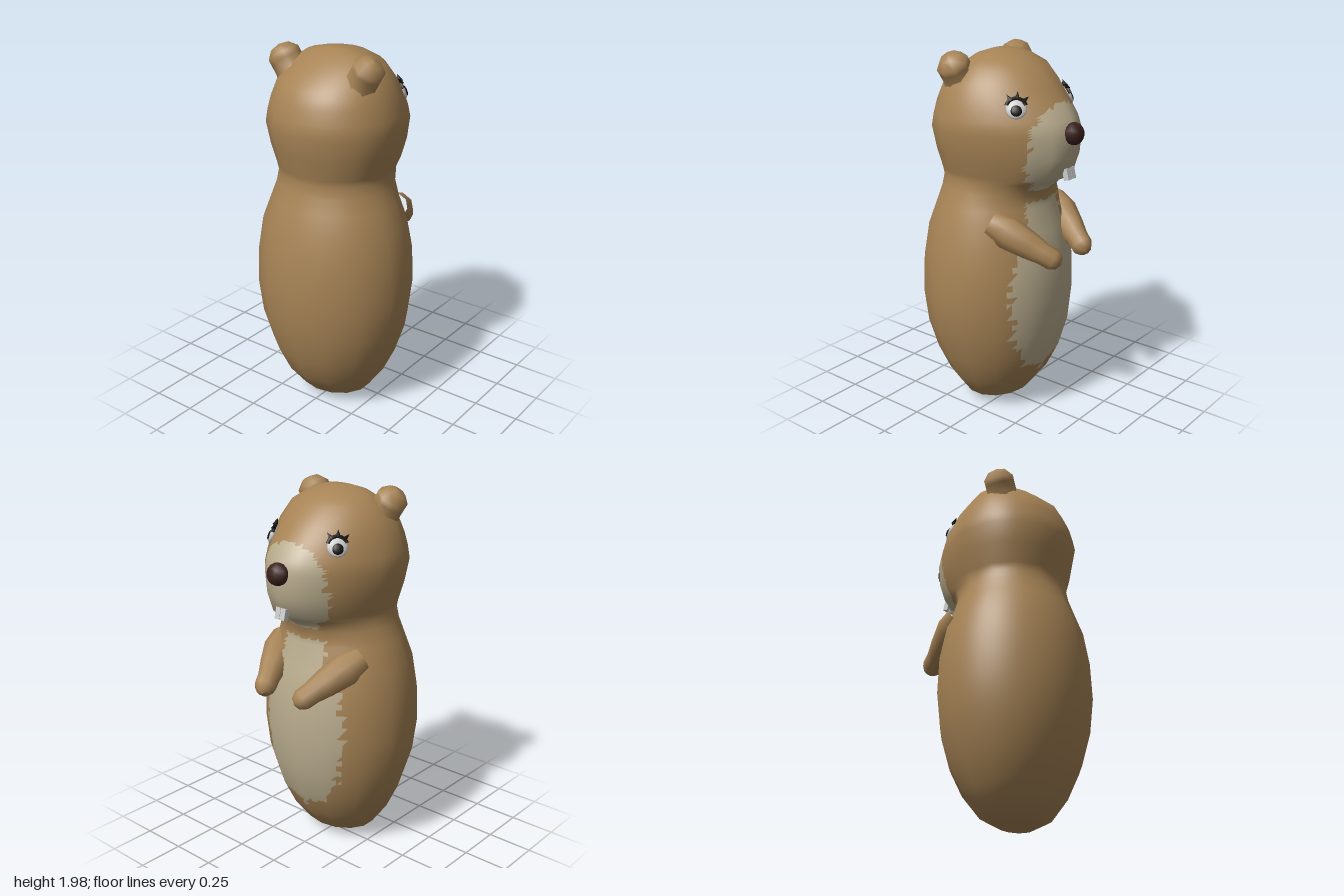
import * as THREE from 'three';

const mat = (color) => new THREE.MeshStandardMaterial({ color });
const FUR = mat(0xa68355), CREAM = mat(0xb9ac8e), DARK = mat(0x3a201c), BLACK = mat(0x17130f), WHITE = mat(0xe2e2e0);

const SIDES = 14, SUB = 6, MID_Z = 0.06;
// Body rings: height, half width, back z, front z, pinch towards the snout
const RINGS = [
  [0.01, 0, 0.06, 0.06, 0], [0.02, 0.11, 0.14, -0.02, 0], [0.07, 0.21, 0.24, -0.11, 0], [0.19, 0.295, 0.335, -0.205, 0],
  [0.33, 0.36, 0.4, -0.272, 0], [0.5, 0.415, 0.445, -0.318, 0], [0.69, 0.44, 0.465, -0.335, 0],
  [0.89, 0.43, 0.457, -0.332, 0], [1.07, 0.4, 0.428, -0.29, 0], [1.2, 0.35, 0.382, -0.25, 0],
  [1.28, 0.318, 0.355, -0.25, 0], [1.34, 0.305, 0.345, -0.31, 0.1], [1.375, 0.312, 0.352, -0.385, 0.2],
  [1.48, 0.345, 0.378, -0.42, 0.22], [1.6, 0.368, 0.402, -0.43, 0.25], [1.67, 0.358, 0.388, -0.405, 0.25],
  [1.74, 0.338, 0.37, -0.355, 0.2], [1.82, 0.308, 0.335, -0.285, 0.1], [1.91, 0.245, 0.23, -0.205, 0],
  [1.965, 0.16, 0.14, -0.1, 0], [1.985, 0.07, 0.08, -0.02, 0], [1.987, 0, 0.04, 0.04, 0],
];
const EYE_ROW = 16;

// Coarse rings give the shape and its smooth normals
function coarseBody() {
  const pos = [], index = [];
  for (const [y, rx, back, front, pinch] of RINGS) {
    for (let i = 0; i < SIDES; i++) {
      const a = (i / SIDES) * Math.PI * 2, c = Math.cos(a);
      const x = rx * Math.sin(a) * (1 - pinch * Math.max(0, c) ** 2);
      const mid = rx === 0 ? back : MID_Z;
      pos.push(x, y, mid - c * (c > 0 ? mid - front : back - mid));
    }
  }
  for (let j = 0; j < RINGS.length - 1; j++) {
    for (let i = 0; i < SIDES; i++) {
      const a = j * SIDES + i, b = j * SIDES + (i + 1) % SIDES;
      index.push(a, a + SIDES, b, b, a + SIDES, b + SIDES);
    }
  }
  const g = new THREE.BufferGeometry();
  g.setAttribute('position', new THREE.Float32BufferAttribute(pos, 3));
  g.setIndex(index);
  g.computeVertexNormals();
  return g;
}

// Interpolate an attribute at ring coordinate v and side coordinate u
function sample(attr, u, v) {
  const j = Math.min(Math.floor(v), RINGS.length - 2), i = Math.floor(u), fu = u - i, fv = v - j;
  const at = (s, r) => new THREE.Vector3().fromBufferAttribute(attr, r * SIDES + ((s % SIDES) + SIDES) % SIDES);
  const low = at(i, j).lerp(at(i + 1, j), fu), high = at(i, j + 1).lerp(at(i + 1, j + 1), fu);
  return low.lerp(high, fv);
}

// Light fur on muzzle, chest and belly, with a ragged edge
function isCream(x, y, z) {
  const rag = 0.009 * Math.sin(y * 95) + 0.006 * Math.sin(x * 110 + y * 40);
  const muzzle = y > 1.29 && y < 1.755 && z + rag < -0.25 - (y - 1.3) * 0.17;
  const chest = z < 0 && y >= 0.9 && y < 1.235 + rag && Math.abs(x) + rag < 0.14;
  const belly = y < 1.0 + rag && y > 0.15 && z + rag < -0.237;
  return muzzle || chest || belly;
}

function buildBody(coarse) {
  const { position, normal } = coarse.attributes;
  const cols = SIDES * SUB, rows = (RINGS.length - 1) * SUB, pos = [], nor = [], fur = [], cream = [];
  for (let j = 0; j <= rows; j++) {
    for (let i = 0; i < cols; i++) {
      pos.push(...sample(position, i / SUB, j / SUB).toArray());
      nor.push(...sample(normal, i / SUB, j / SUB).normalize().toArray());
    }
  }
  const addFace = (...f) => {
    const mean = (k) => (pos[f[0] * 3 + k] + pos[f[1] * 3 + k] + pos[f[2] * 3 + k]) / 3;
    (isCream(mean(0), mean(1), mean(2)) ? cream : fur).push(...f);
  };
  for (let j = 0; j < rows; j++) {
    for (let i = 0; i < cols; i++) {
      const a = j * cols + i, b = j * cols + (i + 1) % cols;
      addFace(a, a + cols, b);
      addFace(b, a + cols, b + cols);
    }
  }
  const P = new THREE.Float32BufferAttribute(pos, 3), N = new THREE.Float32BufferAttribute(nor, 3);
  const part = (name, index, material) => {
    const g = new THREE.BufferGeometry();
    g.setAttribute('position', P);
    g.setAttribute('normal', N);
    g.setIndex(index);
    return named(name, new THREE.Mesh(g, material));
  };
  return [part('bodyFur', fur, FUR), part('lightFur', cream, CREAM)];
}

function named(name, object) {
  object.name = name;
  return object;
}

// Lathed stub running from one point to another
function stub(name, profile, from, to, sides) {
  const a = new THREE.Vector3(...from), dir = new THREE.Vector3(...to).sub(a), len = dir.length();
  const points = profile.map(([r, t]) => new THREE.Vector2(r, t * len));
  const m = named(name, new THREE.Mesh(new THREE.LatheGeometry(points, sides), FUR));
  m.position.copy(a);
  m.quaternion.setFromUnitVectors(new THREE.Vector3(0, 1, 0), dir.normalize());
  return m;
}

// Eye facing local +z: white, pupil, upper lid and lashes
function buildEye(name) {
  const eye = named(name, new THREE.Group());
  const ball = (label, r, depth, material, y, z) => {
    const m = named(label, new THREE.Mesh(new THREE.SphereGeometry(r, 14, 10), material));
    m.scale.z = depth;
    m.position.set(0, y, z);
    eye.add(m);
  };
  ball('eyeWhite', 0.052, 0.35, WHITE, 0, 0);
  ball('pupil', 0.029, 0.4, BLACK, -0.012, 0.012);
  const lid = named('upperLid', new THREE.Mesh(new THREE.TorusGeometry(0.05, 0.01, 6, 12, Math.PI * 0.8), BLACK));
  lid.rotation.z = Math.PI * 0.1;
  lid.position.z = 0.008;
  eye.add(lid);
  for (const t of [-0.8, -0.1, 0.6]) {
    const lash = named('lash', new THREE.Mesh(new THREE.ConeGeometry(0.014, 0.04, 4), BLACK));
    lash.position.set(-Math.sin(t) * 0.066, Math.cos(t) * 0.066, 0.01);
    lash.rotation.z = t;
    eye.add(lash);
  }
  return eye;
}

export function createModel() {
  const model = named('standingRodent', new THREE.Group());
  const coarse = coarseBody();
  model.add(...buildBody(coarse));

  const armProfile = [[0.07, 0], [0.09, 0.25], [0.075, 0.55], [0.06, 0.75], [0.058, 0.9], [0.036, 0.98], [0, 1.01]];
  const earProfile = [[0.11, 0], [0.085, 0.35], [0.084, 0.65], [0.085, 0.8], [0.05, 1], [0, 1.06]];
  for (const s of [1, -1]) {
    const side = s > 0 ? 'right' : 'left';
    model.add(stub(side + 'Arm', armProfile, [s * 0.27, 1.14, -0.1], [s * 0.115, 0.945, -0.435], 9));
    model.add(stub(side + 'Ear', earProfile, [s * 0.185, 1.8, 0.13], [s * 0.29, 1.965, 0.145], 8));

    // Eyes sit on the head surface and follow its normal
    const u = s * 1.78, eye = buildEye(side + 'Eye');
    eye.position.copy(sample(coarse.attributes.position, u, EYE_ROW));
    const n = sample(coarse.attributes.normal, u, EYE_ROW).normalize();
    eye.lookAt(eye.position.clone().add(n));
    model.add(eye);

    // Front teeth under the muzzle
    const tooth = named(side + 'Tooth', new THREE.Mesh(new THREE.BoxGeometry(0.032, 0.06, 0.03), WHITE));
    tooth.position.set(s * 0.017, 1.395, -0.395);
    tooth.rotation.x = 0.25;
    model.add(tooth);
  }

  const nose = named('nose', new THREE.Mesh(new THREE.SphereGeometry(1, 10, 8), DARK));
  nose.scale.set(0.064, 0.058, 0.046);
  nose.position.set(0, 1.605, -0.42);
  nose.rotation.x = 0.25;
  model.add(nose);
  return model;
}
